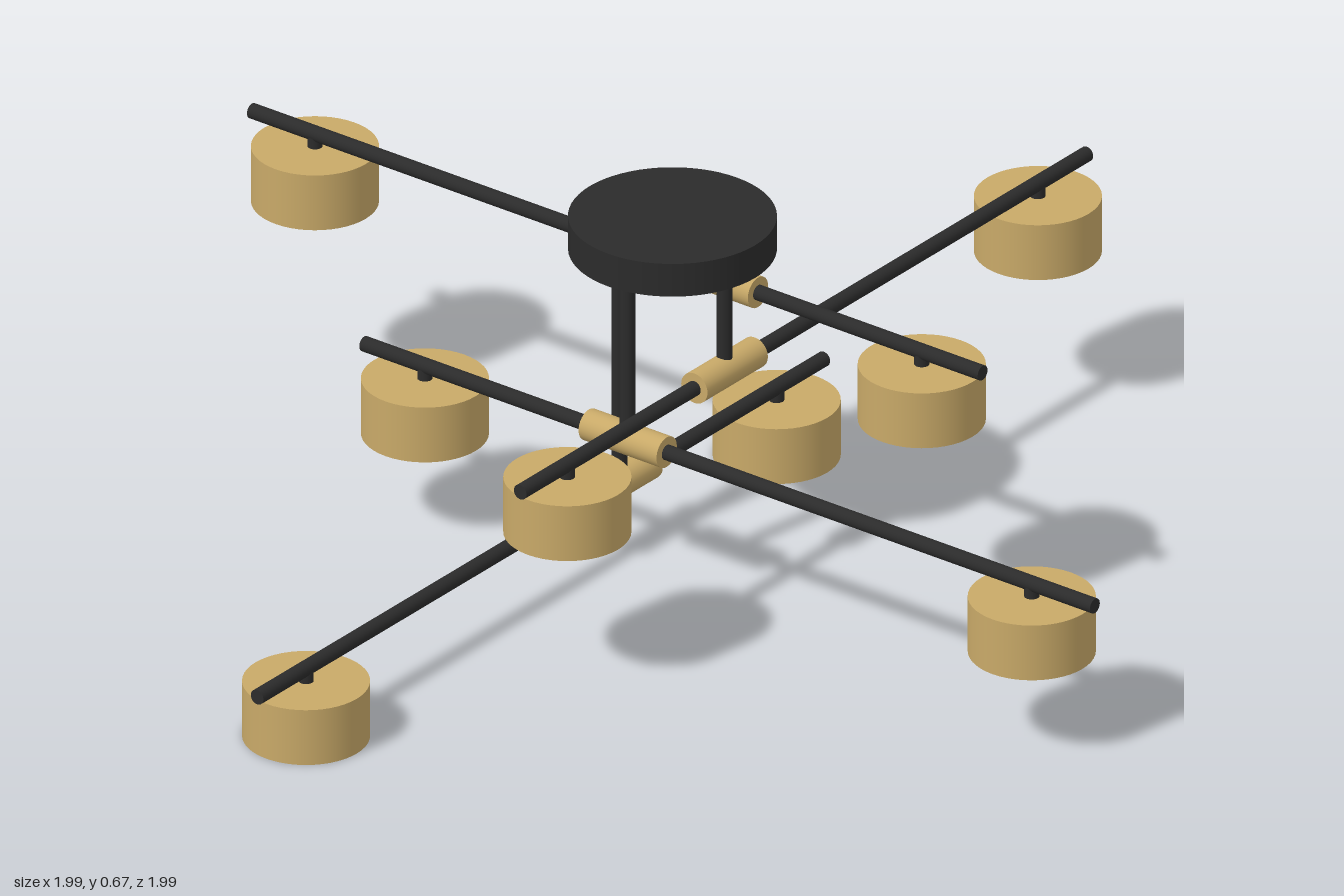
import * as THREE from 'three';

export function createModel() {
  const mat = (name, color) => {
    const m = new THREE.MeshStandardMaterial({ color });
    m.name = name;
    return m;
  };
  const black = mat('matte black', 0x2b2b2b);
  const brass = mat('brushed brass', 0xc8a968);
  const white = mat('diffuser white', 0xdedede);

  const model = new THREE.Group();
  model.name = 'ceilingLight';

  const add = (parent, name, geometry, material, x = 0, y = 0, z = 0) => {
    const mesh = new THREE.Mesh(geometry, material);
    mesh.name = name;
    mesh.position.set(x, y, z);
    parent.add(mesh);
    return mesh;
  };
  const cylinder = (r, h, sides = 24) => new THREE.CylinderGeometry(r, r, h, sides);

  // Ceiling canopy with a brass underside plate
  add(model, 'canopy', cylinder(0.176, 0.062, 64), black, 0, 0.641, 0);
  add(model, 'canopyPlate', cylinder(0.166, 0.004, 64), brass, 0, 0.609, 0);

  // Lamp shade: a drum whose bottom opening has a thin rim
  const R = 0.108, H = 0.104;
  const lip = R - 0.007;
  const wall = new THREE.CylinderGeometry(R, R, H, 48, 1, true);
  const top = new THREE.CircleGeometry(R, 48).rotateX(-Math.PI / 2);
  const rim = new THREE.RingGeometry(lip, R, 48).rotateX(Math.PI / 2);
  const inner = new THREE.CylinderGeometry(lip, lip, 0.005, 48, 1, true).scale(-1, 1, 1);
  // mirrored cylinder has reversed faces; flip its normals to match
  inner.getAttribute('normal').array.forEach((v, i, a) => { a[i] = -v; });
  const lens = new THREE.CircleGeometry(lip, 48).rotateX(Math.PI / 2);

  const addLamp = (parent, x) => {
    const lamp = new THREE.Group();
    lamp.name = 'lamp';
    lamp.position.set(x, -0.076, 0);
    parent.add(lamp);
    add(lamp, 'shadeWall', wall, brass);
    add(lamp, 'shadeTop', top, brass, 0, H / 2, 0);
    add(lamp, 'shadeRim', rim, brass, 0, -H / 2, 0);
    add(lamp, 'shadeLip', inner, brass, 0, -H / 2 + 0.0025, 0);
    add(lamp, 'diffuser', lens, white, 0, -H / 2 + 0.004, 0);
    add(lamp, 'lampStem', cylinder(0.013, 0.028), black, 0, 0.063, 0);
  };

  // Each arm runs along its local x: long end at +0.995, short end at -0.56
  const arms = [
    { pos: [0, 0.5, -0.128], turn: Math.PI },
    { pos: [0.111, 0.414, 0], turn: Math.PI / 2 },
    { pos: [0, 0.3, 0.123], turn: 0 },
    { pos: [-0.113, 0.132, 0], turn: -Math.PI / 2 },
  ];
  for (const { pos: [x, y, z], turn } of arms) {
    const arm = new THREE.Group();
    arm.name = 'arm';
    arm.position.set(x, y, z);
    arm.rotation.y = turn;
    model.add(arm);
    add(arm, 'bar', cylinder(0.0135, 1.557).rotateZ(Math.PI / 2), black, 0.217, 0, 0);
    add(arm, 'coupler', cylinder(0.028, 0.166, 32).rotateZ(Math.PI / 2), brass);
    addLamp(arm, 0.861);
    addLamp(arm, -0.432);

    // Drop rod and its collar under the canopy
    const rod = 0.61 - y;
    add(model, 'dropRod', cylinder(0.0135, rod), black, x, y + rod / 2, z);
    add(model, 'rodCollar', cylinder(0.019, 0.014), black, x, 0.601, z);
  }

  return model;
}
